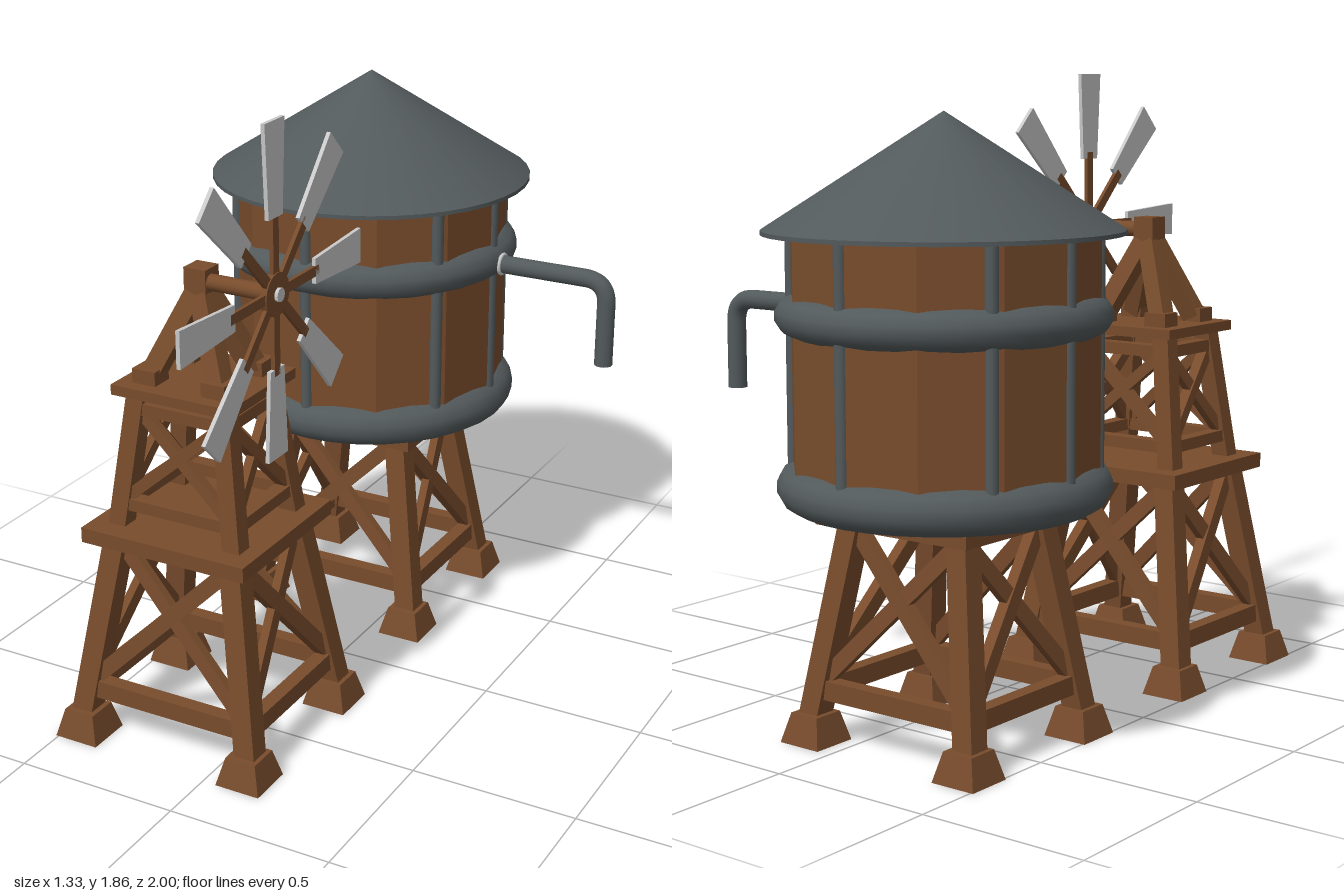
import * as THREE from 'three';
import { toCreasedNormals } from 'three/addons/utils/BufferGeometryUtils.js';

const wood = new THREE.MeshStandardMaterial({ color: 0x784c2c });
wood.name = 'wood';
const metal = new THREE.MeshStandardMaterial({ color: 0x535a5c });
metal.name = 'dark metal';
const pale = new THREE.MeshStandardMaterial({ color: 0xc9c9c9 });
pale.name = 'pale metal';

function add(parent, name, geometry, material, x = 0, y = 0, z = 0) {
  const mesh = new THREE.Mesh(geometry, material);
  mesh.name = name;
  mesh.position.set(x, y, z);
  parent.add(mesh);
  return mesh;
}

const flat = (geometry) => toCreasedNormals(geometry, 0.1);

// Square timber between two points; facing is the direction its depth points to
function beam(parent, name, from, to, width, depth, facing) {
  const a = new THREE.Vector3(...from), b = new THREE.Vector3(...to);
  const up = b.clone().sub(a);
  const length = up.length();
  up.normalize();
  const side = up.clone().cross(new THREE.Vector3(...facing)).normalize();
  const mesh = add(parent, name, new THREE.BoxGeometry(width, length, depth), wood);
  mesh.quaternion.setFromRotationMatrix(new THREE.Matrix4().makeBasis(side, up, side.clone().cross(up)));
  mesh.position.copy(a.add(b).multiplyScalar(0.5));
}

// One storey: four leaning legs with a rail and crossed braces on each side
function storey(parent, s) {
  const at = (y) => {
    const t = (y - s.y0) / (s.y1 - s.y0);
    return [THREE.MathUtils.lerp(s.x0, s.x1, t), THREE.MathUtils.lerp(s.z0, s.z1, t)];
  };
  for (const i of [-1, 1]) for (const k of [-1, 1]) {
    beam(parent, 'leg', [i * s.x0, s.y0, k * s.z0], [i * s.x1, s.y1, k * s.z1], s.leg, s.leg, [0, 0, 1]);
  }
  for (const k of [-1, 1]) {
    const front = (i, y) => [i * at(y)[0], y, k * at(y)[1]];
    const flank = (i, y) => [k * at(y)[0], y, i * at(y)[1]];
    for (const [point, facing] of [[front, [0, 0, k]], [flank, [k, 0, 0]]]) {
      for (const y of s.rails) beam(parent, 'rail', point(-1, y), point(1, y), s.rail, 0.045, facing);
      for (const i of [-1, 1]) {
        beam(parent, 'brace', point(-i * 0.93, s.braceLow), point(i * 0.93, s.braceHigh), s.brace, 0.03 + 0.004 * i, facing);
      }
    }
  }
}

// Shared lower tower with footings and a deck
function baseTower(name, z) {
  const tower = new THREE.Group();
  tower.name = name;
  tower.position.set(-0.163, 0, z);
  for (const i of [-1, 1]) for (const k of [-1, 1]) {
    const foot = new THREE.CylinderGeometry(0.048 * Math.SQRT2, 0.07 * Math.SQRT2, 0.085, 4);
    add(tower, 'footing', flat(foot.rotateY(Math.PI / 4)), wood, i * 0.275, 0.0425, k * 0.25);
  }
  storey(tower, {
    y0: 0.06, y1: 0.64, x0: 0.28, x1: 0.19, z0: 0.25, z1: 0.165, leg: 0.066,
    rails: [0.155], rail: 0.055, brace: 0.046, braceLow: 0.19, braceHigh: 0.61,
  });
  add(tower, 'deck', new THREE.BoxGeometry(0.534, 0.045, 0.498), wood, 0, 0.645, 0);
  return tower;
}

function windmill() {
  const mill = baseTower('windmill', 0.513);
  storey(mill, {
    y0: 0.66, y1: 1.07, x0: 0.19, x1: 0.137, z0: 0.158, z1: 0.115, leg: 0.055,
    rails: [0.733, 1.02], rail: 0.036, brace: 0.034, braceLow: 0.75, braceHigh: 1.01,
  });
  add(mill, 'upperDeck', new THREE.BoxGeometry(0.388, 0.03, 0.354), wood, 0, 1.079, 0);

  // Peaked cap that carries the shaft
  for (const i of [-1, 1]) for (const k of [-1, 1]) {
    add(mill, 'capFoot', new THREE.BoxGeometry(0.075, 0.042, 0.07), wood, i * 0.112, 1.115, k * 0.1);
    beam(mill, 'capLeg', [i * 0.115, 1.1, k * 0.095], [i * 0.01, 1.34, k * 0.01], 0.055, 0.055, [0, 0, 1]);
  }
  add(mill, 'capBlock', new THREE.BoxGeometry(0.07, 0.12, 0.07), wood, 0, 1.36, 0);

  // Wheel is built facing +z, then turned to face +x
  const wheel = new THREE.Group();
  wheel.name = 'wheel';
  wheel.position.set(0.238, 1.38, 0.008);
  wheel.rotation.y = Math.PI / 2;
  mill.add(wheel);
  const round = (r, depth, sides) => toCreasedNormals(
    new THREE.CylinderGeometry(r, r, depth, sides).rotateX(Math.PI / 2), 0.9);
  add(wheel, 'shaft', round(0.024, 0.24, 12), wood, 0, 0, -0.12);
  add(wheel, 'hub', round(0.062, 0.02, 16), wood);
  add(wheel, 'hubCap', round(0.02, 0.03, 12), pale, 0, 0, 0.005);
  const outline = new THREE.Shape([[-0.037, 0.215], [0.037, 0.215], [0.052, 0.48], [-0.052, 0.48]]
    .map(([x, y]) => new THREE.Vector2(x, y)));
  const blade = new THREE.ExtrudeGeometry(outline, { depth: 0.012, bevelEnabled: false }).translate(0, 0, -0.006);
  for (let n = 0; n < 8; n++) {
    const arm = new THREE.Group();
    arm.name = 'arm';
    arm.rotation.z = n * Math.PI / 4;
    wheel.add(arm);
    add(arm, 'spoke', new THREE.BoxGeometry(0.03, 0.2, 0.012), wood, 0, 0.135, 0);
    add(arm, 'blade', blade, pale);
  }
  return mill;
}

function waterTank() {
  const tank = new THREE.Group();
  tank.name = 'waterTank';
  tank.position.set(-0.168, 0, -0.499);
  const barrel = new THREE.CylinderGeometry(0.43, 0.43, 0.74, 12, 1, true);
  add(tank, 'barrel', flat(barrel), wood, 0, 1.06, 0);

  // Rounded hoops; the lower one closes the bottom
  const hoop = (y0, y1, inner) => {
    const h = y1 - y0;
    const profile = [[inner, 0], [0.415, 0], [0.447, 0.15], [0.463, 0.38], [0.463, 0.62], [0.447, 0.85], [0.415, 1], [0.38, 1]];
    return toCreasedNormals(new THREE.LatheGeometry(
      profile.map(([r, t]) => new THREE.Vector2(r, y0 + t * h)), 32), 0.7);
  };
  add(tank, 'lowerHoop', hoop(0.673, 0.797, 0), metal);
  add(tank, 'middleHoop', hoop(1.15, 1.262, 0.38), metal);

  // Upright rods around the barrel
  for (const degrees of [0, 34, 90, 146, 180, 214, 270, 326]) {
    const a = THREE.MathUtils.degToRad(degrees);
    add(tank, 'rod', new THREE.CylinderGeometry(0.019, 0.019, 0.7, 10), metal, 0.42 * Math.cos(a), 1.08, 0.42 * Math.sin(a));
  }

  // Conical roof with a thin rim
  const roof = [[0, 1.425], [0.498, 1.425], [0.498, 1.437], [0, 1.755]].map(([x, y]) => new THREE.Vector2(x, y));
  add(tank, 'roof', toCreasedNormals(new THREE.LatheGeometry(roof, 40), 0.5), metal);

  // Spout with a rounded elbow
  const path = new THREE.CurvePath();
  const v = (x, y) => new THREE.Vector3(x, y, 0);
  path.add(new THREE.LineCurve3(v(0.41, 1.198), v(0.735, 1.198)));
  path.add(new THREE.QuadraticBezierCurve3(v(0.735, 1.198), v(0.807, 1.198), v(0.807, 1.126)));
  path.add(new THREE.LineCurve3(v(0.807, 1.126), v(0.807, 0.93)));
  add(tank, 'spout', new THREE.TubeGeometry(path, 60, 0.028, 14), metal, 0, 0, 0.005);
  add(tank, 'spoutEnd', new THREE.CircleGeometry(0.028, 14).rotateX(Math.PI / 2), metal, 0.807, 0.93, 0.005);
  add(tank, 'spoutCollar', new THREE.TorusGeometry(0.03, 0.006, 8, 20).rotateY(Math.PI / 2), pale, 0.462, 1.198, 0.005);
  return tank;
}

export function createModel() {
  const model = new THREE.Group();
  model.name = 'waterTowerAndWindmill';
  model.add(windmill(), baseTower('tankTower', -0.486), waterTank());
  return model;
}
